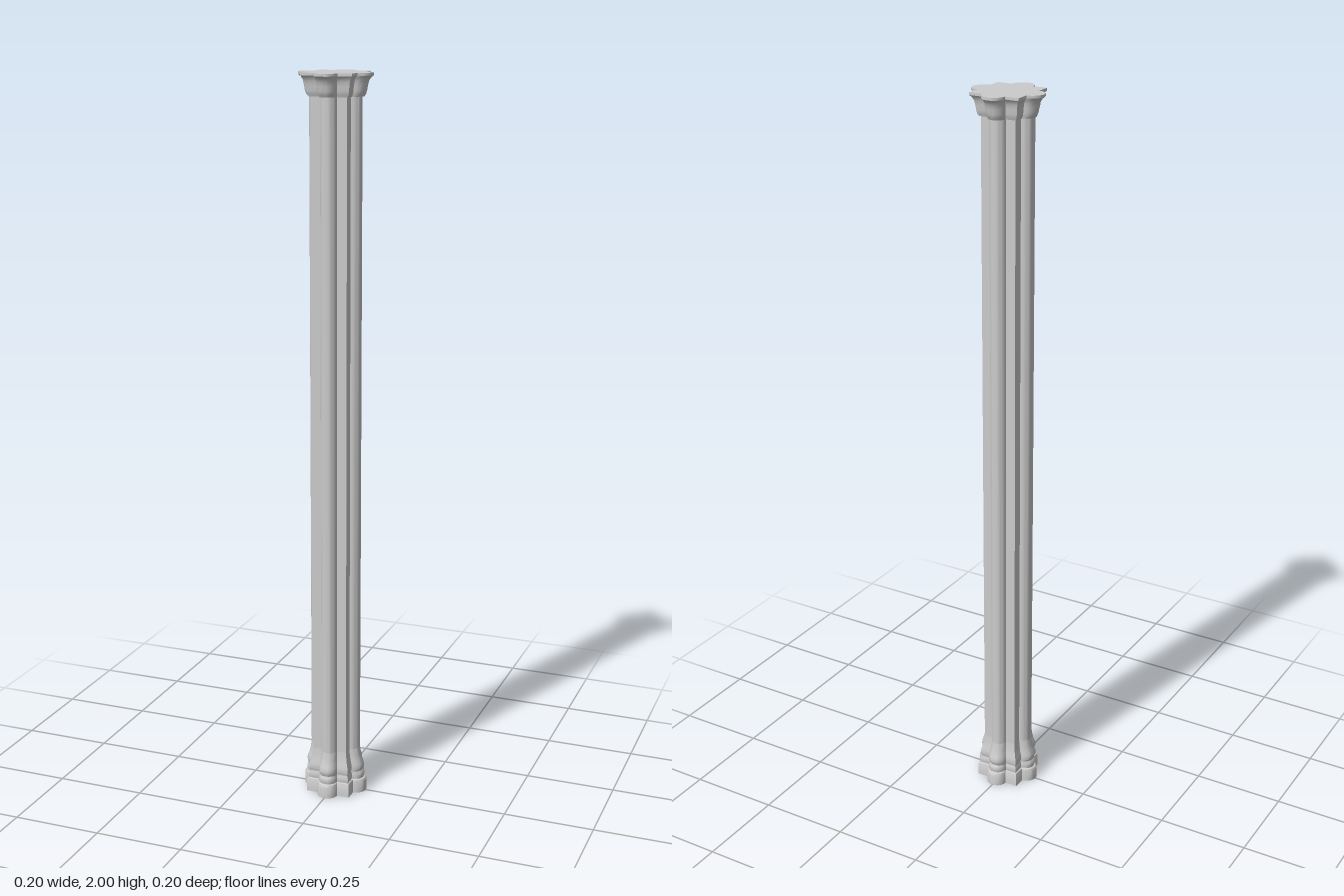
import * as THREE from 'three';
import { toCreasedNormals } from 'three/addons/utils/BufferGeometryUtils.js';

const material = new THREE.MeshStandardMaterial({ color: 0xcccccc });

// Square with a half-round lobe on each side, reaching 1 from the centre
const HALF = 0.69, LOBE = 0.31, STEPS = 10;

function crossSection() {
  const points = [];
  for (let side = 0; side < 4; side++) {
    const turn = side * Math.PI / 2;
    const local = [];
    for (let i = 0; i <= STEPS; i++) {
      const a = -Math.PI / 2 + Math.PI * i / STEPS;
      local.push(new THREE.Vector2(HALF + LOBE * Math.cos(a), LOBE * Math.sin(a)));
    }
    local.push(new THREE.Vector2(HALF, HALF));
    local.forEach(p => points.push(p.rotateAround(new THREE.Vector2(), turn)));
  }
  return points;
}

const section = crossSection();

// Skin the section along a profile of [reach, height] pairs
function moulding(name, profile) {
  const n = section.length, positions = [], index = [];
  profile.forEach(([reach, y], row) => {
    section.forEach((p, i) => {
      positions.push(p.x * reach, y, -p.y * reach);
      if (row === 0) return;
      const j = (i + 1) % n, low = (row - 1) * n, high = row * n;
      index.push(low + i, low + j, high + j, low + i, high + j, high + i);
    });
  });
  const geometry = new THREE.BufferGeometry();
  geometry.setAttribute('position', new THREE.Float32BufferAttribute(positions, 3));
  geometry.setIndex(index);
  const mesh = new THREE.Mesh(toCreasedNormals(geometry, 0.6), material);
  mesh.name = name;
  return mesh;
}

// Flat end cover, facing up (+1) or down (-1)
function cover(name, reach, y, facing) {
  const geometry = new THREE.ShapeGeometry(new THREE.Shape(section));
  geometry.scale(reach, reach, 1).rotateX(-facing * Math.PI / 2).translate(0, y, 0);
  const mesh = new THREE.Mesh(geometry, material);
  mesh.name = name;
  return mesh;
}

export function createModel() {
  const column = new THREE.Group();
  column.name = 'column';

  // Stepped plinth, rounded bands and a hollow sweep into the shaft
  column.add(moulding('base', [
    [0.092, 0], [0.092, 0.033], [0.089, 0.038], [0.084, 0.04],
    [0.086, 0.048], [0.085, 0.056], [0.081, 0.062],
    [0.084, 0.068], [0.085, 0.076], [0.083, 0.085],
    [0.079, 0.095], [0.075, 0.11], [0.072, 0.13],
  ]));
  column.add(moulding('shaft', [[0.072, 0.13], [0.072, 1.94]]));

  // Bowl-shaped capital flaring to a thin top edge
  column.add(moulding('capital', [
    [0.072, 1.94], [0.077, 1.94], [0.081, 1.946], [0.084, 1.955],
    [0.086, 1.967], [0.089, 1.979], [0.095, 1.988], [0.102, 1.993], [0.102, 2],
  ]));
  column.add(cover('topFace', 0.102, 2, 1));
  column.add(cover('bottomFace', 0.092, 0, -1));
  return column;
}
